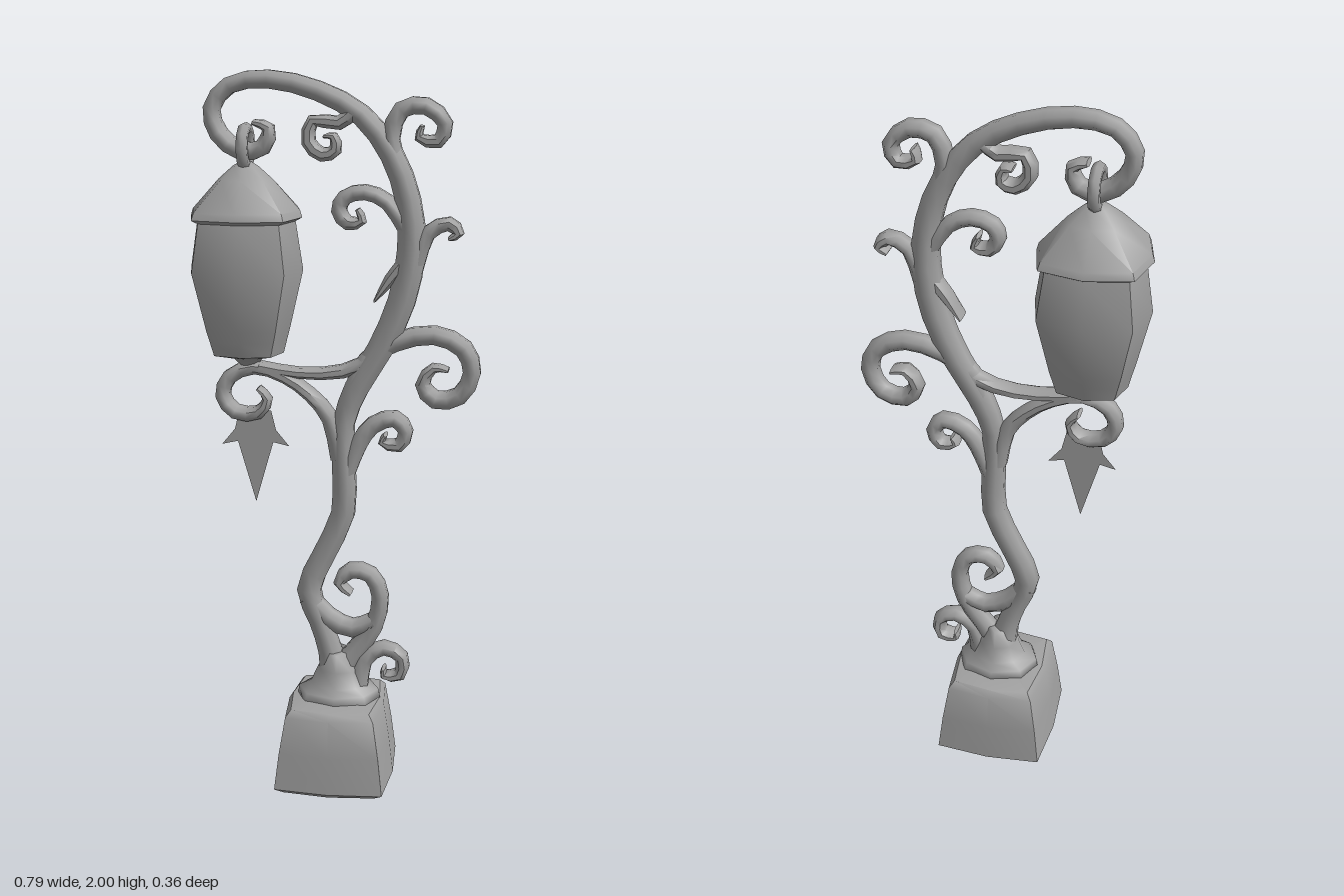
import * as THREE from 'three';
import { toCreasedNormals } from 'three/addons/utils/BufferGeometryUtils.js';

const gray = new THREE.MeshStandardMaterial({ color: 0xa0a0a0, side: THREE.DoubleSide });
gray.name = 'gray iron';

// Joins equal-length rings of points into a closed skin with capped ends
function loft(rings) {
  const n = rings[0].length, pos = rings.flat(2), idx = [];
  for (let i = 0; i < rings.length - 1; i++) {
    for (let j = 0; j < n; j++) {
      const a = i * n + j, b = i * n + (j + 1) % n;
      idx.push(a, b, a + n, b, b + n, a + n);
    }
  }
  const last = (rings.length - 1) * n;
  for (let j = 1; j < n - 1; j++) {
    idx.push(0, j + 1, j, last, last + j, last + j + 1);
  }
  const g = new THREE.BufferGeometry();
  g.setAttribute('position', new THREE.Float32BufferAttribute(pos, 3));
  g.setIndex(idx);
  g.computeVertexNormals();
  return g;
}

// Tapered vine in the xy plane; each point is [x, y, half width], depth is the least half depth
function vine(points, depth = 0.03, sides = 8) {
  const curve = new THREE.CatmullRomCurve3(points.map(p => new THREE.Vector3(...p)), false, 'centripetal');
  const steps = (points.length - 1) * 2, rings = [];
  for (let i = 0; i <= steps; i++) {
    const p = curve.getPoint(i / steps), t = curve.getTangent(i / steps);
    const len = Math.hypot(t.x, t.y) || 1, nx = -t.y / len, ny = t.x / len;
    const rz = Math.max(depth, p.z), ring = [];
    for (let j = 0; j < sides; j++) {
      const a = (j + 0.5) / sides * Math.PI * 2, c = Math.cos(a) * p.z;
      ring.push([p.x + nx * c, p.y + ny * c, -Math.sin(a) * rz * 1.04]);
    }
    rings.push(ring.reverse());
  }
  return toCreasedNormals(loft(rings), 1.0);
}

// Eight-sided stack; each level is [y, radius x, radius z, corner stretch]
function stack(levels) {
  const rings = levels.map(([y, rx, rz, k]) => {
    const ring = [];
    for (let j = 0; j < 8; j++) {
      const a = -j * Math.PI / 4, s = j % 2 ? k : 1;
      ring.push([Math.cos(a) * rx * s, y, Math.sin(a) * rz * s]);
    }
    return ring.reverse();
  });
  for (const r of rings) r.reverse();
  return loft(rings);
}

export function createModel() {
  const model = new THREE.Group();
  model.name = 'streetLamp';
  const add = (name, geometry, x = 0, y = 0, z = 0) => {
    const m = new THREE.Mesh(geometry, gray);
    m.name = name;
    m.position.set(x, y, z);
    model.add(m);
    return m;
  };

  // Stone foot and the mound of roots on it
  add('foot', toCreasedNormals(stack([
    [0, 0.14, 0.165, 1.3], [0.015, 0.165, 0.182, 1.31], [0.12, 0.153, 0.172, 1.3],
    [0.225, 0.137, 0.16, 1.28], [0.243, 0.125, 0.145, 1.25], [0.25, 0.08, 0.09, 1.1],
  ]), 0.7), 0.003);
  add('rootMound', stack([
    [0.235, 0.12, 0.105, 1.05], [0.268, 0.115, 0.095, 1], [0.285, 0.08, 0.075, 1],
    [0.33, 0.06, 0.06, 1], [0.38, 0.03, 0.05, 1],
  ]), 0.01);

  // Trunk sweeping up into the arm that carries the lantern
  add('trunkAndArm', vine([
    [0.0, 0.28, 0.045], [-0.015, 0.38, 0.035], [-0.045, 0.47, 0.032], [-0.075, 0.56, 0.036],
    [-0.035, 0.66, 0.035], [0.022, 0.79, 0.035], [0.024, 0.92, 0.034], [0.024, 1.05, 0.032],
    [0.06, 1.15, 0.036], [0.124, 1.26, 0.038], [0.18, 1.39, 0.04], [0.205, 1.53, 0.04],
    [0.195, 1.66, 0.036], [0.15, 1.78, 0.033], [0.07, 1.88, 0.03], [-0.045, 1.942, 0.028],
    [-0.18, 1.972, 0.026], [-0.285, 1.955, 0.024], [-0.333, 1.895, 0.024], [-0.315, 1.83, 0.026],
    [-0.255, 1.785, 0.026], [-0.195, 1.795, 0.024], [-0.18, 1.845, 0.018], [-0.22, 1.86, 0.008],
  ]));

  // Branches and their curls
  const curls = {
    lowerStrandCurl: [[0.0, 0.3, 0.04], [0.05, 0.37, 0.032], [0.11, 0.46, 0.028], [0.128, 0.55, 0.025],
      [0.1, 0.612, 0.024], [0.045, 0.622, 0.024], [0.012, 0.585, 0.018], [0.045, 0.555, 0.008]],
    crossStrand: [[-0.08, 0.54, 0.03], [-0.02, 0.478, 0.03], [0.05, 0.45, 0.028], [0.11, 0.475, 0.025]],
    footCurl: [[0.06, 0.26, 0.035], [0.085, 0.36, 0.026], [0.14, 0.395, 0.022], [0.19, 0.37, 0.02],
      [0.185, 0.318, 0.02], [0.14, 0.315, 0.012], [0.14, 0.335, 0.006]],
    middleCurl: [[0.03, 0.9, 0.025], [0.065, 0.99, 0.026], [0.105, 1.045, 0.025], [0.165, 1.065, 0.024],
      [0.195, 1.03, 0.022], [0.175, 0.99, 0.02], [0.13, 1.0, 0.012], [0.14, 1.02, 0.006]],
    largeCurl: [[0.035, 1.1, 0.025], [0.085, 1.225, 0.026], [0.165, 1.278, 0.027], [0.27, 1.3, 0.027],
      [0.35, 1.265, 0.027], [0.373, 1.2, 0.026], [0.34, 1.135, 0.026], [0.275, 1.122, 0.026],
      [0.24, 1.165, 0.022], [0.27, 1.21, 0.014], [0.31, 1.205, 0.006]],
    outerTwig: [[0.21, 1.48, 0.03], [0.25, 1.575, 0.022], [0.305, 1.6, 0.02], [0.33, 1.575, 0.016],
      [0.305, 1.56, 0.006]],
    topCurl: [[0.18, 1.7, 0.03], [0.148, 1.82, 0.025], [0.175, 1.895, 0.025], [0.24, 1.905, 0.024],
      [0.29, 1.86, 0.022], [0.272, 1.815, 0.02], [0.222, 1.825, 0.014], [0.23, 1.855, 0.006]],
    armCurl: [[0.05, 1.89, 0.02], [0.01, 1.86, 0.02], [-0.06, 1.865, 0.018], [-0.072, 1.81, 0.02],
      [-0.035, 1.777, 0.02], [0.0, 1.79, 0.018], [-0.005, 1.825, 0.012], [-0.03, 1.825, 0.005]],
    innerCurl: [[0.195, 1.58, 0.025], [0.14, 1.655, 0.022], [0.08, 1.68, 0.022], [0.025, 1.665, 0.022],
      [0.01, 1.63, 0.022], [0.035, 1.597, 0.02], [0.072, 1.605, 0.014], [0.06, 1.635, 0.006]],
    thorn: [[0.19, 1.5, 0.02], [0.15, 1.45, 0.018], [0.108, 1.39, 0.004]],
    lowerArm: [[0.15, 1.32, 0.025], [0.11, 1.24, 0.024], [0.02, 1.193, 0.02], [-0.1, 1.185, 0.016],
      [-0.21, 1.2, 0.016]],
    lanternCurl: [[0.015, 0.95, 0.03], [-0.015, 1.06, 0.024], [-0.07, 1.125, 0.02], [-0.14, 1.172, 0.018],
      [-0.225, 1.197, 0.02], [-0.295, 1.168, 0.022], [-0.315, 1.115, 0.022], [-0.28, 1.07, 0.022],
      [-0.215, 1.07, 0.02], [-0.19, 1.11, 0.014], [-0.215, 1.14, 0.006]],
  };
  for (const [name, points] of Object.entries(curls)) add(name, vine(points));

  // Lantern with eaves, bulging body and pointed foot
  add('lantern', toCreasedNormals(stack([
    [1.19, 0.008, 0.008, 1], [1.225, 0.045, 0.045, 1], [1.24, 0.1, 0.1, 1.1], [1.28, 0.11, 0.11, 1.12],
    [1.31, 0.118, 0.118, 1.13], [1.47, 0.155, 0.155, 1.14], [1.6, 0.135, 0.135, 1.14],
    [1.61, 0.153, 0.153, 1.14], [1.63, 0.147, 0.147, 1.13], [1.71, 0.075, 0.075, 1.08],
    [1.745, 0.035, 0.035, 1], [1.76, 0.01, 0.01, 1],
  ]), 0.75), -0.243);

  // Hanging ring, standing across the hook
  const ring = add('hangingRing', new THREE.TorusGeometry(0.05, 0.017, 6, 10), -0.243, 1.795);
  ring.rotation.y = Math.PI / 2;

  // Flat pendant leaf
  const leaf = new THREE.Shape([
    [-0.045, 1.075], [0.045, 1.075], [0.058, 1.02], [0.095, 0.975], [0.05, 0.985], [0.0, 0.812],
    [-0.05, 0.985], [-0.095, 0.975], [-0.058, 1.02],
  ].map(([x, y]) => new THREE.Vector2(x, y)));
  add('pendantLeaf', new THREE.ShapeGeometry(leaf), -0.225);

  return model;
}
